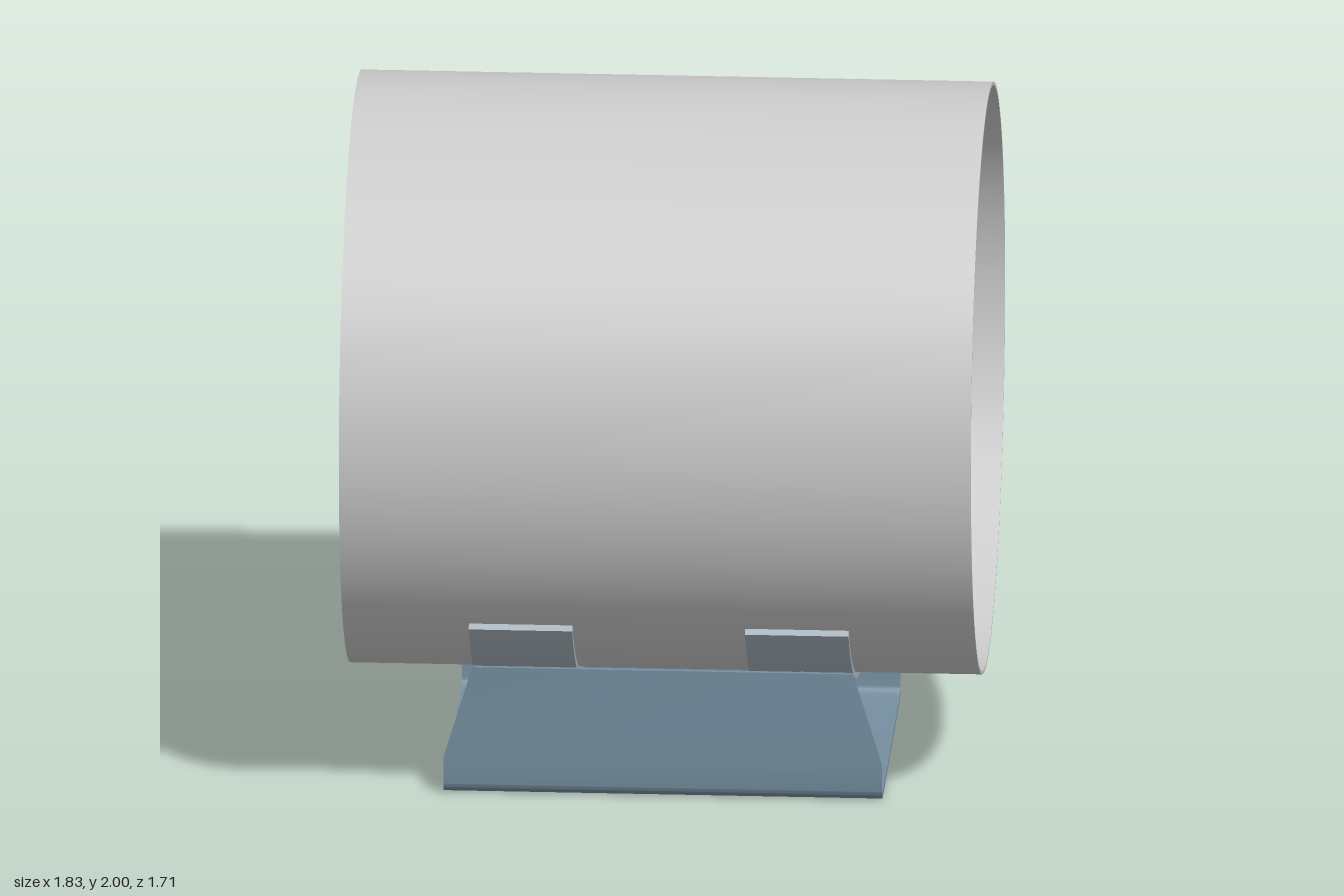
import * as THREE from 'three';
import { toCreasedNormals } from 'three/addons/utils/BufferGeometryUtils.js';

const CY = 1.143;        // height of the pipe axis
const R = 0.857;         // pipe outer radius
const PAD_R = 0.877;     // outer radius of the saddle pads
const DOWN = -Math.PI / 2;

const pipeMat = new THREE.MeshStandardMaterial({ color: 0xcccccc });
const saddleMat = new THREE.MeshStandardMaterial({ color: 0xa8b4bc });
const channelMat = new THREE.MeshStandardMaterial({ color: 0x768fa1 });

// Extrudes a z-y section along x, centred on x = 0
function extrudeAlongX(shape, length, curveSegments) {
  const g = new THREE.ExtrudeGeometry(shape, { depth: length, bevelEnabled: false, curveSegments });
  g.translate(0, 0, -length / 2);
  g.rotateY(Math.PI / 2);
  return g;
}

function addPart(group, name, geometry, material, x = 0) {
  const mesh = new THREE.Mesh(toCreasedNormals(geometry, 0.5), material);
  mesh.name = name;
  mesh.position.x = x;
  group.add(mesh);
}

// Thin-walled pipe section
function pipeShape() {
  const s = new THREE.Shape();
  s.absarc(0, CY, R, 0, Math.PI * 2, false);
  const hole = new THREE.Path();
  hole.absarc(0, CY, R - 0.01, 0, Math.PI * 2, true);
  s.holes.push(hole);
  return s;
}

// Curved pad hugging the underside of the pipe
function padShape() {
  const a = 0.87;
  const s = new THREE.Shape();
  s.absarc(0, CY, PAD_R, DOWN - a, DOWN + a, false);
  s.absarc(0, CY, R, DOWN + a, DOWN - a, true);
  s.closePath();
  return s;
}

// Web plate: chamfered bottom corners, top cut to the pad radius
function webShape() {
  const w = 0.45, b = 0.014, c = 0.035;
  const a = Math.asin(w / PAD_R);
  const s = new THREE.Shape();
  s.moveTo(-w + c, b);
  s.lineTo(w - c, b);
  s.lineTo(w, b + c);
  s.absarc(0, CY, PAD_R, DOWN + a, DOWN - a, true);
  s.lineTo(-w, b + c);
  s.closePath();
  return s;
}

// Folded U channel with rounded bends; its ends taper inwards above the knee
function channelGeometry() {
  const w = 0.465, t = 0.014, r = 0.04, top = 0.39, knee = 0.11;
  const s = new THREE.Shape();
  s.moveTo(-w, top);
  s.lineTo(-w, knee);
  s.absarc(-w + r, r, r, Math.PI, Math.PI * 1.5, false);
  s.absarc(w - r, r, r, -Math.PI / 2, 0, false);
  s.lineTo(w, knee);
  s.lineTo(w, top);
  s.lineTo(w - t, top);
  s.lineTo(w - t, knee);
  s.absarc(w - r, r, r - t, 0, -Math.PI / 2, true);
  s.absarc(-w + r, r, r - t, Math.PI * 1.5, Math.PI, true);
  s.lineTo(-w + t, knee);
  s.lineTo(-w + t, top);
  s.closePath();
  const g = extrudeAlongX(s, 1.27, 8);
  const p = g.attributes.position;
  for (let i = 0; i < p.count; i++) {
    const k = Math.max(0, (p.getY(i) - knee) / (top - knee));
    p.setX(i, Math.sign(p.getX(i)) * (0.635 - 0.085 * k));
  }
  return g;
}

export function createModel() {
  const model = new THREE.Group();
  model.name = 'pipeSupport';

  addPart(model, 'pipe', extrudeAlongX(pipeShape(), 1.83, 128), pipeMat);
  addPart(model, 'baseChannel', channelGeometry(), channelMat);

  // Pads and the webs carrying them, one set at each end
  for (const [side, x] of [['left', 1], ['right', -1]]) {
    addPart(model, side + 'SaddlePad', extrudeAlongX(padShape(), 0.3, 40), saddleMat, x * 0.4);
    addPart(model, side + 'Web', extrudeAlongX(webShape(), 0.02, 40), saddleMat, x * 0.41);
  }
  return model;
}
